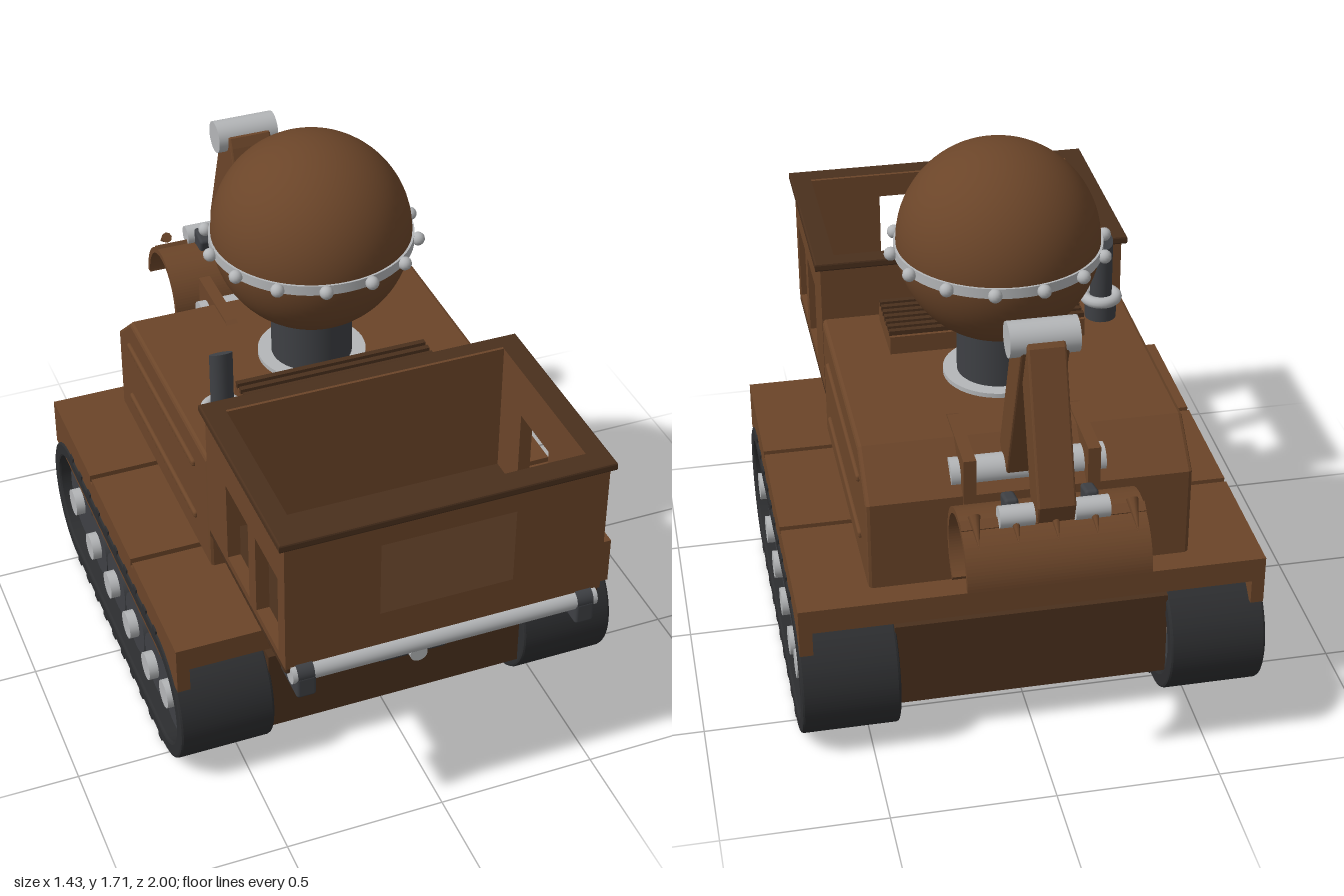
import * as THREE from 'three';
import { RoundedBoxGeometry } from 'three/addons/geometries/RoundedBoxGeometry.js';

const mat = (color, side = THREE.FrontSide) => new THREE.MeshStandardMaterial({ color, side });
const BROWN = mat(0x6b4529), DARKBROWN = mat(0x4a301d), DARK = mat(0x3e4044), RUBBER = mat(0x2d2e30), STEEL = mat(0xb4b6b8);

export function createModel() {
  const root = new THREE.Group();
  const add = (name, geo, material, x = 0, y = 0, z = 0, parent = root) => {
    const m = new THREE.Mesh(geo, material);
    m.name = name;
    m.position.set(x, y, z);
    parent.add(m);
    return m;
  };
  // box given by its limits on each axis
  const box = (name, material, [x0, x1], [y0, y1], [z0, z1], r = 0) => {
    const s = [x1 - x0, y1 - y0, z1 - z0];
    const g = r ? new RoundedBoxGeometry(...s, 2, r) : new THREE.BoxGeometry(...s);
    return add(name, g, material, (x0 + x1) / 2, (y0 + y1) / 2, (z0 + z1) / 2);
  };
  const cylX = (r, len, seg = 32) => new THREE.CylinderGeometry(r, r, len, seg).rotateZ(Math.PI / 2);
  const cylZ = (r, len, seg = 32) => new THREE.CylinderGeometry(r, r, len, seg).rotateX(Math.PI / 2);
  // side profile swept across x; profile coordinates are (-z, y)
  const sweep = (shape, width, bevel = 0) => new THREE.ExtrudeGeometry(shape, {
    depth: width - 2 * bevel, curveSegments: 32, bevelEnabled: bevel > 0,
    bevelSize: bevel, bevelThickness: bevel, bevelOffset: -bevel, bevelSegments: 2,
  }).translate(0, 0, bevel - width / 2).rotateY(Math.PI / 2);
  const sideShape = (pts) => new THREE.Shape(pts.map(([z, y]) => new THREE.Vector2(-z, y)));
  const rectPath = (x0, x1, y0, y1) => new THREE.Path([[x0, y0], [x0, y1], [x1, y1], [x1, y0]].map((p) => new THREE.Vector2(...p)));
  const rectShape = (...r) => new THREE.Shape(rectPath(...r).getPoints());

  // Chassis, deck with two cross grooves, and side skirts
  box('chassis', DARKBROWN, [-0.42, 0.42], [0.13, 0.415], [-0.64, 0.63]);
  const deckTop = [[0.64, 0.46], [0.64, 0.54]];
  for (const z of [0.2, -0.24]) deckTop.push([z + 0.01, 0.54], [z + 0.01, 0.515], [z - 0.01, 0.515], [z - 0.01, 0.54]);
  deckTop.push([-0.68, 0.54], [-0.68, 0.46]);
  add('deck', sweep(sideShape(deckTop.reverse()), 1.42), BROWN);
  for (const s of [-1, 1]) {
    const a = s * 0.67, b = s * 0.71;
    box('skirt', BROWN, [Math.min(a, b), Math.max(a, b)], [0.38, 0.51], [-0.68, 0.64]);
  }

  // Crawler tracks
  const stadium = (Path, r) => {
    const p = new Path();
    p.absarc(0.5, 0.23, r, -Math.PI / 2, Math.PI / 2, false);
    p.absarc(-0.45, 0.23, r, Math.PI / 2, Math.PI * 1.5, false);
    p.closePath();
    return p;
  };
  const beltShape = stadium(THREE.Shape, 0.22);
  beltShape.holes.push(stadium(THREE.Path, 0.17));
  const beltGeo = sweep(beltShape, 0.3, 0.008);
  const wheels = [[0.48, 0.23, 0.138], [-0.515, 0.23, 0.128]];
  for (const z of [0.29, 0.085, -0.122, -0.33]) wheels.push([z, 0.18, 0.1]);
  for (const s of [-1, 1]) {
    const track = new THREE.Group();
    track.name = s > 0 ? 'leftTrack' : 'rightTrack';
    track.position.x = s * 0.565;
    root.add(track);
    add('belt', beltGeo, RUBBER, 0, 0, 0, track);
    for (let i = 0; i < 10; i++) for (const y of [0.011, 0.449])
      add('lug', new THREE.BoxGeometry(0.3, 0.022, 0.032), RUBBER, 0, y, 0.43 - i * 0.1, track);
    for (const [z, y, r] of wheels) {
      add('wheel', cylX(r, 0.23), DARK, 0, y, z, track);
      add('hub', cylX(0.045, 0.29, 24), STEEL, 0, y, z, track);
    }
  }

  // Front hitch
  box('hitch', DARK, [-0.11, 0.11], [0.395, 0.48], [0.62, 0.755], 0.01);
  add('hitchPin', cylZ(0.028, 0.06), STEEL, 0, 0.435, 0.765);

  // Engine body with sloped rear and long side ribs
  add('body', sweep(sideShape([[0.31, 0.54], [-0.6, 0.54], [-0.6, 0.83], [-0.46, 0.95], [0.31, 0.95]]), 0.98, 0.012), BROWN);
  for (const s of [-1, 1]) for (const y of [0.85, 0.65])
    add('sideRib', new RoundedBoxGeometry(0.02, 0.025, 0.67, 2, 0.009), BROWN, s * 0.49, y, -0.145);

  // Louvred engine cover
  box('engineCover', BROWN, [-0.31, 0.31], [0.94, 1.01], [0.05, 0.28]);
  for (let i = 0; i < 7; i++)
    add('louvre', new THREE.BoxGeometry(0.62, 0.02, 0.018), DARKBROWN, 0, 1.015, 0.07 + i * 0.032);

  // Exhaust with slanted mouth
  add('exhaustCollar', new THREE.CylinderGeometry(0.05, 0.05, 0.07, 24), DARK, -0.39, 0.98, 0.17);
  add('exhaustRing', new THREE.TorusGeometry(0.05, 0.018, 12, 32).rotateX(Math.PI / 2), STEEL, -0.39, 1.02, 0.17);
  const pipe = new THREE.CylinderGeometry(0.035, 0.035, 0.28, 24);
  const pp = pipe.attributes.position;
  for (let i = 0; i < pp.count; i++) if (pp.getY(i) > 0) pp.setY(i, 0.12 + pp.getZ(i) * 0.57);
  add('exhaustPipe', pipe, DARK, -0.39, 1.1, 0.17);

  // Turret ball with riveted band
  add('turretFlange', new THREE.CylinderGeometry(0.17, 0.17, 0.015, 48), STEEL, 0, 0.957, -0.105);
  add('turretNeck', new THREE.CylinderGeometry(0.127, 0.127, 0.2, 48), DARK, 0, 1.04, -0.105);
  add('turretBall', new THREE.SphereGeometry(0.307, 64, 40), BROWN, 0, 1.403, -0.105);
  add('turretBand', new THREE.CylinderGeometry(0.314, 0.314, 0.032, 64), STEEL, 0, 1.385, -0.105);
  for (let i = 0; i < 14; i++) {
    const a = (i / 14) * Math.PI * 2;
    add('rivet', new THREE.SphereGeometry(0.021, 14, 10), STEEL, Math.cos(a) * 0.325, 1.385, -0.105 + Math.sin(a) * 0.325);
  }

  // Open-topped cab: floor, walls with windows, rim
  box('cabFloor', DARKBROWN, [-0.49, 0.49], [0.665, 0.7], [0.31, 0.97], 0.01);
  const sideWall = sideShape([[0.97, 0.69], [0.31, 0.69], [0.31, 1.14], [0.97, 1.14]]);
  sideWall.holes.push(rectPath(-0.92, -0.735, 0.715, 0.985), rectPath(-0.675, -0.485, 0.715, 0.985));
  for (const s of [-1, 1]) add('cabSideWall', sweep(sideWall, 0.04), BROWN, s * 0.47);
  const front = rectShape(-0.49, 0.49, 0.69, 1.14);
  front.holes.push(rectPath(-0.205, 0.205, 0.81, 1.06));
  add('cabFrontWall', new THREE.ExtrudeGeometry(front, { depth: 0.04, bevelEnabled: false }), BROWN, 0, 0, 0.935);
  box('cabRearWall', BROWN, [-0.45, 0.45], [0.69, 1.14], [0.312, 0.345]);
  const rim = rectShape(-0.507, 0.507, -0.985, -0.3);
  rim.holes.push(rectPath(-0.445, 0.445, -0.92, -0.35));
  add('cabRim', new THREE.ExtrudeGeometry(rim, { depth: 0.015, bevelSize: 0.005, bevelThickness: 0.006, bevelOffset: -0.005, bevelSegments: 2 }).rotateX(-Math.PI / 2), DARKBROWN, 0, 1.134, 0);

  // Front roller on two brackets, and the ram below the cab
  add('roller', cylX(0.031, 0.95), STEEL, 0, 0.665, 0.967);
  for (const s of [-1, 1]) {
    add('rollerBracket', new RoundedBoxGeometry(0.06, 0.075, 0.14, 2, 0.01), DARK, s * 0.435, 0.628, 0.93);
    add('rollerCap', cylX(0.033, 0.05), DARK, s * 0.435, 0.667, 0.967);
  }
  add('ramBarrel', cylZ(0.04, 0.2), DARK, 0, 0.62, 0.4);
  add('ramRod', cylZ(0.018, 0.2, 20), STEEL, 0, 0.62, 0.565);

  // Rear arm: mounting plates, boom, stick and pivots
  const plate = sideShape([[-0.31, 0.94], [-0.35, 0.958], [-0.615, 0.958], [-0.615, 0.7], [-0.58, 0.7], [-0.58, 0.83], [-0.45, 0.94]].reverse());
  for (const s of [-1, 1]) add('armPlate', sweep(plate, 0.038), BROWN, s * 0.185);
  add('armPivot', cylX(0.045, 0.465), STEEL, 0, 0.872, -0.53);
  add('boom', sweep(sideShape([[-0.46, 0.89], [-0.56, 0.84], [-0.602, 0.95], [-0.77, 1.4], [-0.755, 1.43], [-0.66, 1.43], [-0.645, 1.4]]), 0.14, 0.006), BROWN);
  add('stick', sweep(sideShape([[-0.835, 0.96], [-0.925, 0.935], [-0.94, 0.99], [-0.785, 1.41], [-0.76, 1.43], [-0.69, 1.43], [-0.665, 1.4]]), 0.11, 0.006), BROWN);
  add('elbowPivot', cylX(0.052, 0.2), STEEL, 0, 1.412, -0.72);

  // Bucket shell with lip, teeth and hinge
  const shell = new THREE.Shape();
  const end = THREE.MathUtils.degToRad(235);
  shell.absarc(0.84, 0.775, 0.157, 0, end, false);
  shell.absarc(0.84, 0.775, 0.138, end, 0, true);
  add('bucket', sweep(shell, 0.53), BROWN);
  const lip = add('bucketLip', new THREE.BoxGeometry(0.53, 0.015, 0.03), BROWN, 0, 0.925, -0.89);
  lip.rotation.x = -0.6;
  for (let i = -2; i <= 2; i++) {
    const tooth = add('tooth', new THREE.ConeGeometry(0.018, 0.1, 8), BROWN, i * 0.113, 0.927, -0.93);
    tooth.rotation.x = -Math.PI / 2 - 0.65;
  }
  for (const s of [-1, 1]) {
    add('bucketPin', cylX(0.032, 0.1), STEEL, s * 0.108, 0.948, -0.895);
    const b = add('bucketBracket', new RoundedBoxGeometry(0.04, 0.1, 0.075, 2, 0.01), DARK, s * 0.115, 0.93, -0.848);
    b.rotation.x = 0.25;
  }
  return root;
}
